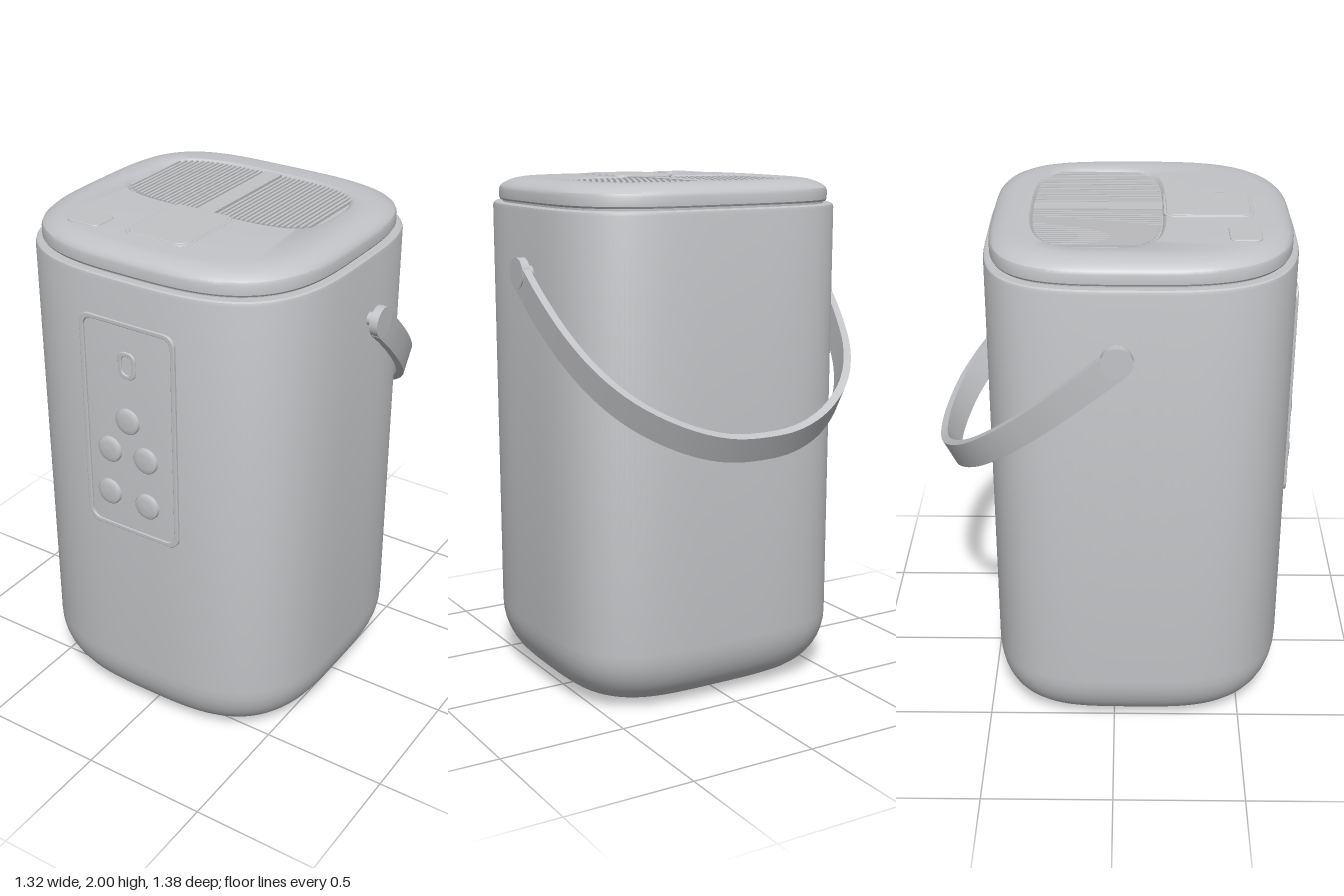
import * as THREE from 'three';
import { toCreasedNormals } from 'three/addons/utils/BufferGeometryUtils.js';

const grey = new THREE.MeshStandardMaterial({ color: 0xc2c3c6 });
grey.name = 'light grey plastic';

const N = 128;

// Rounded-square outline: superellipse with its own exponent for front and back
function outline(cx, cz, a, b, nFront, nBack) {
  const pts = [];
  for (let j = 0; j < N; j++) {
    const t = (j / N) * Math.PI * 2, c = Math.cos(t), s = Math.sin(t);
    const e = 2 / (s > 0 ? nFront : nBack);
    pts.push([cx + a * Math.sign(c) * Math.abs(c) ** e, cz + b * Math.sign(s) * Math.abs(s) ** e]);
  }
  return pts;
}
const bodyRing = (s) => outline(0, 0.095, 0.6 * s, 0.575 * s, 3.1, 3.8);
const grilleRing = (s) => outline(-0.005, -0.065, 0.425 * s, 0.245 * s, 4, 3.2);

// Skin over [outline, y] rings, closed at both ends
function loft(rings, crease = 0.5) {
  const pos = [], idx = [];
  rings.forEach(([pts, y]) => pts.forEach(([x, z]) => pos.push(x, y, z)));
  for (let i = 0; i < rings.length - 1; i++) {
    for (let j = 0; j < N; j++) {
      const a = i * N + j, b = i * N + ((j + 1) % N);
      idx.push(a, a + N, b, b, a + N, b + N);
    }
  }
  [0, rings.length - 1].forEach((i) => {
    const [pts, y] = rings[i];
    const c = pos.length / 3;
    pos.push((pts[0][0] + pts[N / 2][0]) / 2, y, (pts[N / 4][1] + pts[(3 * N) / 4][1]) / 2);
    for (let j = 0; j < N; j++) {
      const a = i * N + j, b = i * N + ((j + 1) % N);
      idx.push(c, i ? b : a, i ? a : b);
    }
  });
  const g = new THREE.BufferGeometry();
  g.setAttribute('position', new THREE.Float32BufferAttribute(pos, 3));
  g.setIndex(idx);
  return toCreasedNormals(g, crease);
}

function roundedRect(w, h, r, Type = THREE.Shape) {
  const p = new Type(), x = w / 2, y = h / 2;
  p.moveTo(-x + r, -y).lineTo(x - r, -y);
  p.absarc(x - r, -y + r, r, -Math.PI / 2, 0);
  p.absarc(x - r, y - r, r, 0, Math.PI / 2);
  p.absarc(-x + r, y - r, r, Math.PI / 2, Math.PI);
  p.absarc(-x + r, -y + r, r, Math.PI, Math.PI * 1.5);
  return p;
}

// Softly bevelled plate or frame, facing +z
function plate(w, h, r, depth, rim = 0) {
  const bevel = 0.004;
  const s = roundedRect(w - 2 * bevel, h - 2 * bevel, r);
  if (rim) s.holes.push(roundedRect(w - 2 * rim, h - 2 * rim, r, THREE.Path));
  return new THREE.ExtrudeGeometry(s, {
    depth: depth - bevel, bevelSize: bevel, bevelThickness: bevel, bevelSegments: 3, curveSegments: 8,
  });
}

// Strap: rectangular section swept along a curve
function strap(curve, steps, width, thick) {
  const pos = [], idx = [];
  for (let i = 0; i <= steps; i++) {
    const u = i / steps, p = curve.getPointAt(u), t = curve.getTangentAt(u);
    const k = Math.sin(u * Math.PI);
    const w = new THREE.Vector3(0, 0.7 + 0.2 * k, -0.7 + 0.25 * k);
    w.addScaledVector(t, -w.dot(t)).normalize();
    const n = new THREE.Vector3().crossVectors(t, w).normalize();
    [[1, 1], [1, -1], [-1, -1], [-1, 1]].forEach(([a, b]) => {
      const q = p.clone().addScaledVector(w, (a * width) / 2).addScaledVector(n, (b * thick) / 2);
      pos.push(q.x, q.y, q.z);
    });
  }
  for (let i = 0; i < steps; i++) {
    for (let j = 0; j < 4; j++) {
      const a = i * 4 + j, b = i * 4 + ((j + 1) % 4);
      idx.push(a, a + 4, b, b, a + 4, b + 4);
    }
  }
  const e = steps * 4;
  idx.push(0, 1, 2, 0, 2, 3, e, e + 2, e + 1, e, e + 3, e + 2);
  const g = new THREE.BufferGeometry();
  g.setAttribute('position', new THREE.Float32BufferAttribute(pos, 3));
  g.setIndex(idx);
  return toCreasedNormals(g, 0.6);
}

export function createModel() {
  const model = new THREE.Group();
  const add = (name, geo, x = 0, y = 0, z = 0, parent = model) => {
    const m = new THREE.Mesh(geo, grey);
    m.name = name;
    m.position.set(x, y, z);
    parent.add(m);
    return m;
  };

  // Body with recessed base and rounded lower edge
  const body = [[0.57, 0.012], [0.58, 0], [0.65, 0], [0.66, 0.012], [0.7, 0.014]];
  for (let i = 1; i <= 10; i++) {
    const t = (i / 10) * Math.PI / 2;
    body.push([0.7 + 0.3 * Math.sin(t), 0.014 + 0.23 * (1 - Math.cos(t))]);
  }
  body.push([1, 1.885], [0.995, 1.896], [0.985, 1.9], [0.93, 1.9]);
  add('body', loft(body.map(([s, y]) => [bodyRing(s), y])));

  // Lid seam and lid, with a shallow grille recess in its top
  add('lidSeam', loft([[bodyRing(0.94), 1.89], [bodyRing(0.94), 1.92]]));
  const lid = [[0.93, 1.908], [0.955, 1.908], [0.962, 1.915], [0.962, 1.948], [0.955, 1.96],
    [0.935, 1.971], [0.9, 1.982], [0.86, 1.99], [0.82, 1.994]].map(([s, y]) => [bodyRing(s), y]);
  lid.push([grilleRing(1.02), 1.994], [grilleRing(0.99), 1.988], [grilleRing(0.97), 1.98]);
  add('lid', loft(lid));

  // Lid grille: two banks of slats running front to back
  const grille = new THREE.Group();
  grille.name = 'lidGrille';
  model.add(grille);
  for (const side of [-1, 1]) {
    for (let i = 0; i < 18; i++) {
      const x = 0.055 + i * 0.0195;
      const len = 0.47 * (1 - (x / 0.42) ** 3.5) ** (1 / 3.5);
      add('slat', new THREE.BoxGeometry(0.011, 0.012, len), side * x - 0.005, 1.984, -0.065, grille);
    }
  }
  add('grilleDivider', new THREE.BoxGeometry(0.075, 0.014, 0.475), -0.005, 1.985, -0.065, grille);

  // Base grille: slats running side to side
  const base = new THREE.Group();
  base.name = 'baseGrille';
  model.add(base);
  for (let i = -12; i <= 12; i++) {
    const z = i * 0.0245;
    const len = 0.67 * (1 - Math.abs(z / 0.325) ** 3.3) ** (1 / 3.3);
    add('baseSlat', new THREE.BoxGeometry(len, 0.01, 0.013), 0, 0.008, 0.095 + z, base);
  }

  // Lid buttons
  add('lidLatch', plate(0.25, 0.31, 0.04, 0.012), 0, 1.988, 0.34).rotation.x = -Math.PI / 2;
  add('lidLatchRim', plate(0.27, 0.33, 0.04, 0.006, 0.012), 0, 1.991, 0.34).rotation.x = -Math.PI / 2;
  add('lidSwitch', plate(0.14, 0.115, 0.02, 0.01), -0.3, 1.988, 0.46).rotation.x = -Math.PI / 2;

  // Control panel on the front
  add('panelFrame', plate(0.41, 0.87, 0.04, 0.014, 0.014), 0, 1.31, 0.66);
  add('indicatorWindow', plate(0.075, 0.105, 0.025, 0.016, 0.012), 0, 1.58, 0.66);
  const knob = new THREE.LatheGeometry([[0.051, 0], [0.051, 0.018], [0.046, 0.023], [0.03, 0.026], [0, 0.027]]
    .map(([r, y]) => new THREE.Vector2(r, y)), 32);
  [[-0.005, 1.355], [-0.09, 1.215], [0.07, 1.215], [-0.1, 1.03], [0.07, 1.02]].forEach(([x, y]) => {
    add('panelButton', knob, x, y, 0.66).rotation.x = Math.PI / 2;
  });

  // Carrying handle hanging behind, with round ends and pivot pins
  const half = [[0.645, 1.65, 0.01], [0.634, 1.54, -0.12], [0.603, 1.41, -0.27], [0.545, 1.29, -0.41],
    [0.45, 1.19, -0.52], [0.3, 1.105, -0.607], [0.15, 1.06, -0.645]];
  const path = [...half, [0, 1.05, -0.655], ...half.map(([x, y, z]) => [-x, y, z]).reverse()];
  const curve = new THREE.CatmullRomCurve3(path.map((p) => new THREE.Vector3(...p)));
  add('handleStrap', strap(curve, 80, 0.108, 0.03));
  for (const s of [-1, 1]) {
    add('handleEnd', new THREE.CylinderGeometry(0.058, 0.058, 0.032, 32), s * 0.645, 1.657, 0.01)
      .rotation.z = Math.PI / 2;
    add('handlePin', new THREE.CylinderGeometry(0.025, 0.025, 0.07, 20), s * 0.605, 1.657, 0.01)
      .rotation.z = Math.PI / 2;
  }
  return model;
}
